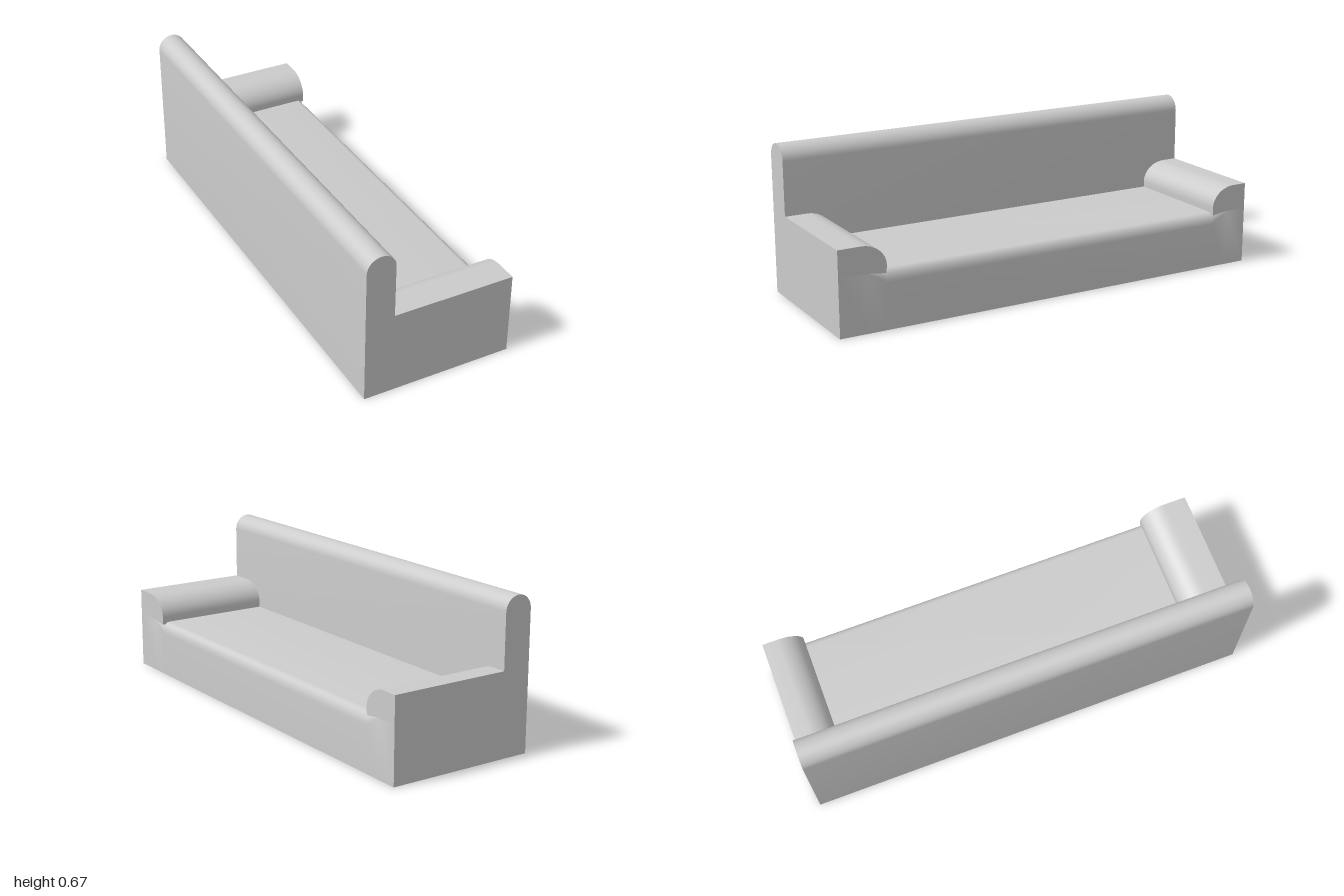
import * as THREE from 'three';
import { toCreasedNormals } from 'three/addons/utils/BufferGeometryUtils.js';

const BACK = -0.333, REST = -0.205, FRONT = 0.333, SEAT = 0.25;
const material = new THREE.MeshStandardMaterial({ color: 0xcccccc });

function addMesh(group, name, geometry) {
  const mesh = new THREE.Mesh(toCreasedNormals(geometry, 0.6), material);
  mesh.name = name;
  group.add(mesh);
}

// Backrest: upright slab with a half-round top, running the full length
function backrestGeometry() {
  const r = (REST - BACK) / 2;
  const shape = new THREE.Shape();
  shape.moveTo(BACK, 0);
  shape.lineTo(REST, 0);
  shape.lineTo(REST, 0.604);
  shape.absarc(BACK + r, 0.604, r, 0, Math.PI, false);
  shape.closePath();
  return new THREE.ExtrudeGeometry(shape, { depth: 2, bevelEnabled: false, curveSegments: 10 })
    .translate(0, 0, -1);
}

// Seat base: cross-sections along z whose rounded front edge tapers out under the arms
function baseGeometry() {
  const steps = 6;
  const section = (z, k) => {
    const pts = [[REST, 0, z], [FRONT, 0, z]];
    for (let i = 0; i <= steps; i++) {
      const a = (i / steps) * Math.PI / 2;
      pts.push([FRONT - 0.035 * k * (1 - Math.cos(a)), SEAT - 0.05 * k * (1 - Math.sin(a)), z]);
    }
    pts.push([REST, SEAT, z]);
    return pts;
  };
  const sections = [[-1, 0], [-0.9, 0], [-0.82, 1], [0.79, 1], [0.87, 0], [1, 0]]
    .map(([z, k]) => section(z, k));
  const n = sections[0].length, out = [];
  for (let s = 0; s < sections.length - 1; s++) {
    for (let j = 0; j < n; j++) {
      const m = (j + 1) % n;
      const a = sections[s][j], b = sections[s][m], c = sections[s + 1][m], d = sections[s + 1][j];
      out.push(...a, ...b, ...c, ...a, ...c, ...d);
    }
  }
  // End caps
  const first = sections[0], last = sections[sections.length - 1];
  for (let j = 1; j < n - 1; j++) {
    out.push(...first[0], ...first[j + 1], ...first[j]);
    out.push(...last[0], ...last[j], ...last[j + 1]);
  }
  const geometry = new THREE.BufferGeometry();
  geometry.setAttribute('position', new THREE.Float32BufferAttribute(out, 3));
  return geometry;
}

// Armrest: flat outside, rolled over on the inside with a slight undercut
function armGeometry(side, inner, tip) {
  const u = (z) => -side * z;
  const shape = new THREE.Shape();
  shape.moveTo(u(1), SEAT);
  shape.lineTo(u(1), 0.367);
  shape.lineTo(u(inner + 0.11), 0.367);
  shape.bezierCurveTo(u(inner + 0.05), 0.367, u(inner), 0.325, u(inner), 0.275);
  shape.lineTo(u(inner + 0.002), 0.24);
  shape.lineTo(u(tip), SEAT);
  shape.closePath();
  return new THREE.ExtrudeGeometry(shape, { depth: FRONT - REST, bevelEnabled: false, curveSegments: 12 })
    .rotateY(Math.PI / 2)
    .translate(REST, 0, 0);
}

export function createModel() {
  const sofa = new THREE.Group();
  sofa.name = 'sofa';
  addMesh(sofa, 'backrest', backrestGeometry());
  addMesh(sofa, 'seatBase', baseGeometry());
  addMesh(sofa, 'nearArmrest', armGeometry(1, 0.79, 0.87));
  addMesh(sofa, 'farArmrest', armGeometry(-1, 0.823, 0.9));
  return sofa;
}
